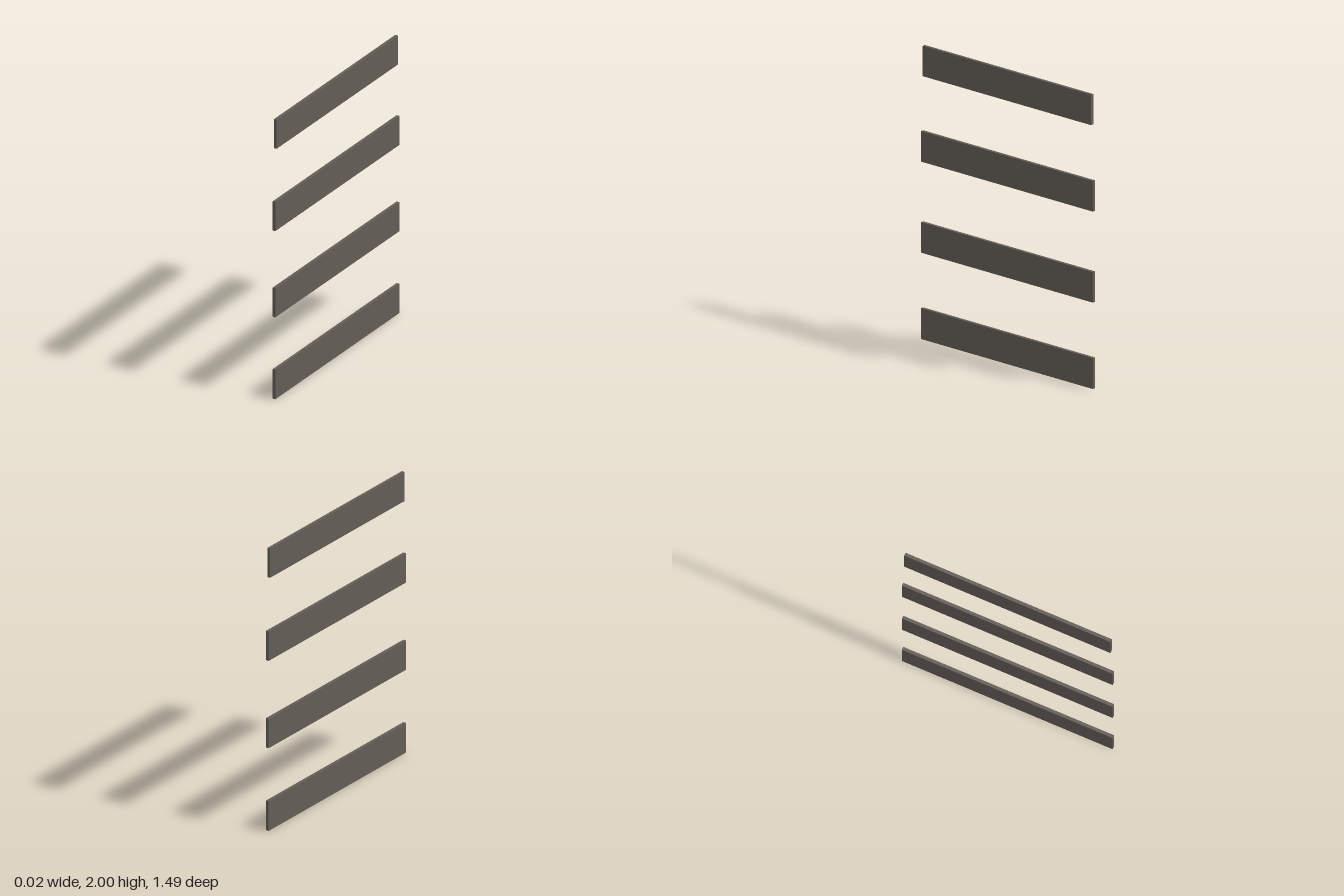
import * as THREE from 'three';

// Four thin horizontal boards stacked with even gaps
export function createModel() {
  const group = new THREE.Group();
  group.name = 'boards';

  const wood = new THREE.MeshStandardMaterial({ color: 0x645d57 });
  wood.name = 'weathered wood';

  const thickness = 0.022;
  // bottom edge, top edge, length; the top board is slightly shorter
  const boards = [
    [0, 0.21, 1.486],
    [0.588, 0.796, 1.486],
    [1.208, 1.416, 1.486],
    [1.793, 2, 1.455],
  ];

  boards.forEach(([bottom, top, length], i) => {
    const board = new THREE.Mesh(new THREE.BoxGeometry(thickness, top - bottom, length), wood);
    board.name = `board${i + 1}`;
    board.position.y = (bottom + top) / 2;
    group.add(board);
  });

  return group;
}
